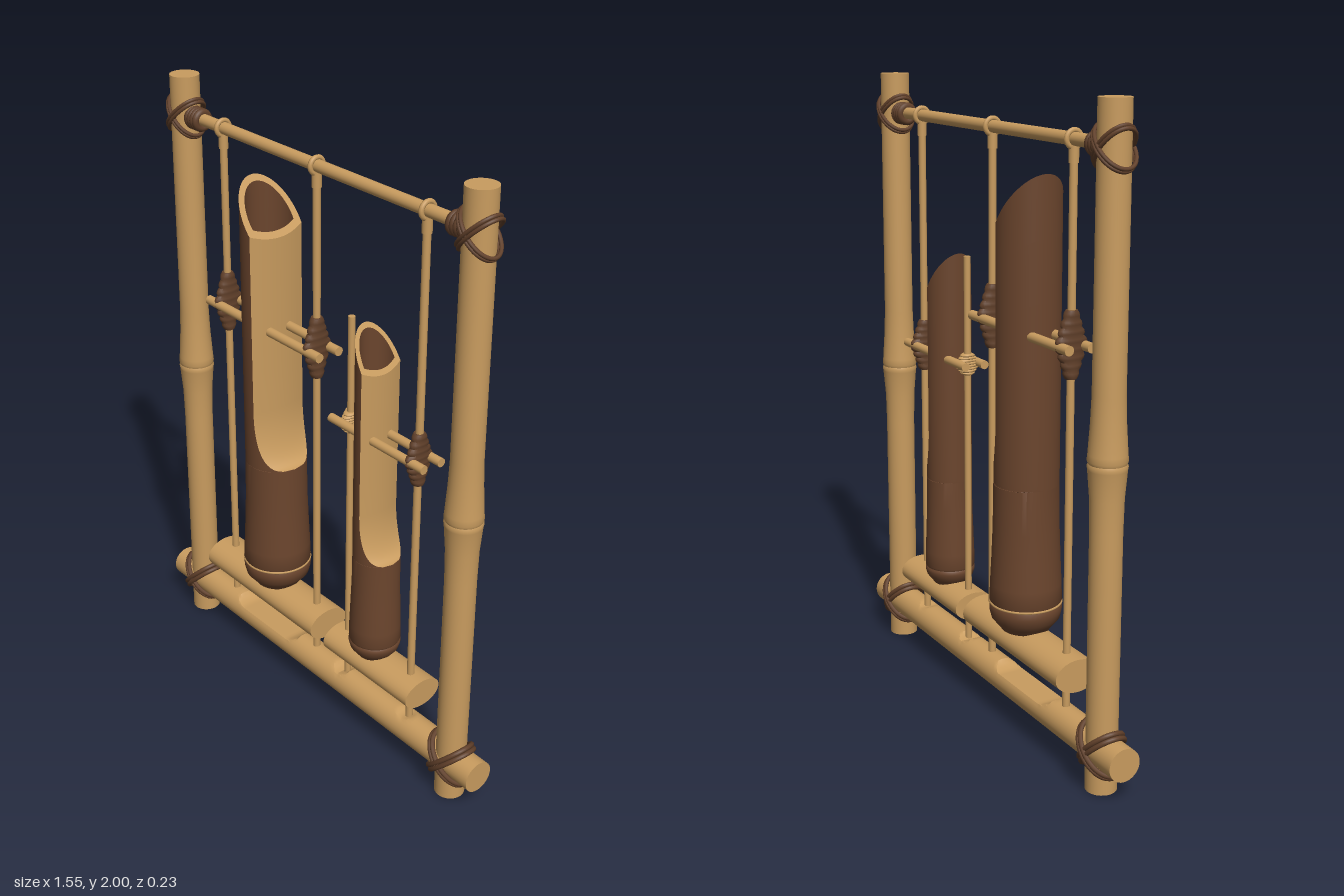
import * as THREE from 'three';
import { toCreasedNormals } from 'three/addons/utils/BufferGeometryUtils.js';

const flat = (name, color, side = THREE.FrontSide) => {
  const m = new THREE.MeshStandardMaterial({ color, side });
  m.name = name;
  return m;
};

// Creases are found at a larger scale, so that close vertices stay distinct
const crease = (geo, angle) =>
  toCreasedNormals(geo.scale(100, 100, 100), angle).scale(0.01, 0.01, 0.01);

export function createModel() {
  const model = new THREE.Group();
  model.name = 'bambooRattle';
  const tan = flat('paleBamboo', 0xc99c5f, THREE.DoubleSide);
  const brown = flat('darkBamboo', 0x6b452d, THREE.DoubleSide);
  const cord = flat('cord', 0x61402a);

  const add = (name, geo, mat, x = 0, y = 0, z = 0, parent = model) => {
    const mesh = new THREE.Mesh(geo, mat);
    mesh.name = name;
    mesh.position.set(x, y, z);
    parent.add(mesh);
    return mesh;
  };
  const barX = (name, mat, r, x0, x1, y, z = 0, rz = r) =>
    add(name, new THREE.CylinderGeometry(r, r, x1 - x0, 32).rotateZ(Math.PI / 2).scale(1, 1, rz / r),
      mat, (x0 + x1) / 2, y, z);
  const barY = (name, mat, r, x, y0, y1) =>
    add(name, new THREE.CylinderGeometry(r, r, y1 - y0, 16), mat, x, (y0 + y1) / 2);

  // Surface through rows of points; f(i, j) returns [x, y, z]
  const grid = (rows, cols, f) => {
    const pos = [], idx = [];
    for (let i = 0; i <= rows; i++) for (let j = 0; j <= cols; j++) {
      pos.push(...f(i, j));
      if (i < rows && j < cols) {
        const a = i * (cols + 1) + j, b = a + cols + 1;
        idx.push(a, b, a + 1, a + 1, b, b + 1);
      }
    }
    const g = new THREE.BufferGeometry();
    g.setAttribute('position', new THREE.Float32BufferAttribute(pos, 3));
    g.setIndex(idx);
    return crease(g, 0.6);
  };

  // Posts with a swollen node halfway up
  const postProfile = [[0, 0], [0.048, 0], [0.048, 0.8], [0.05, 0.9], [0.057, 0.985], [0.059, 0.995],
    [0.056, 1.003], [0.059, 1.012], [0.057, 1.03], [0.051, 1.12], [0.048, 1.2], [0.047, 2], [0, 2]]
    .map(p => new THREE.Vector2(...p));
  for (const s of [-1, 1])
    add('post', crease(new THREE.LatheGeometry(postProfile, 32), 0.6), tan, s * 0.655);

  // Bottom beam, its top cut flat at the slots
  const slots = [[-0.41, -0.08, 0.025], [0.11, 0.175, 0.02], [0.42, 0.48, 0.014]];
  const beam = new THREE.CylinderGeometry(0.052, 0.052, 1.55, 32, 140).rotateZ(Math.PI / 2);
  const bp = beam.attributes.position;
  for (let i = 0; i < bp.count; i++) {
    let top = 0.052;
    for (const [a, b, d] of slots) {
      const inside = Math.min(bp.getX(i) - a, b - bp.getX(i)) / 0.04;
      if (inside > 0) top -= d * Math.sqrt(Math.min(1, inside));
    }
    bp.setY(i, Math.min(bp.getY(i), top));
  }
  add('bottomBeam', crease(beam, 0.5), tan, 0, 0.128);

  // Top rod and the coils at its ends
  barX('topRod', tan, 0.019, -0.62, 0.62, 1.875);
  for (const s of [-1, 1]) for (let k = 0; k < 4; k++)
    add('rodEndCoil', new THREE.TorusGeometry(0.025, 0.012, 8, 24).rotateY(Math.PI / 2), cord,
      s * (0.568 + k * 0.014), 1.872);

  // Crossed cord wraps at the frame joints
  const wrap = (x, y, diag, depth, r) => {
    for (const s of [-1, 1]) for (const k of [-1, 1]) {
      const pts = [];
      for (let i = 0; i < 28; i++) {
        const a = i / 28 * Math.PI * 2, u = Math.cos(a) * diag, o = k * r * 0.95;
        pts.push(new THREE.Vector3((u + o) * 0.707, s * (u - o) * 0.707,
          Math.sin(a) * (depth + (s > 0 ? r * 0.5 : 0))));
      }
      const path = new THREE.CatmullRomCurve3(pts, true);
      add('jointWrap', new THREE.TubeGeometry(path, 48, r, 8, true), cord, x, y);
    }
  };
  for (const s of [-1, 1]) {
    wrap(s * 0.655, 0.13, 0.092, 0.062, 0.008);
    wrap(s * 0.655, 1.87, 0.08, 0.053, 0.006);
  }

  // Upright rods and the loops that hang them
  for (const x of [-0.458, -0.005, 0.46]) {
    barY('uprightRod', tan, 0.012, x, 0.14, 1.87);
    add('hangingLoop', new THREE.TorusGeometry(0.024, 0.008, 8, 24).rotateY(Math.PI / 2), tan, x, 1.875);
    add('loopBinding', new THREE.CylinderGeometry(0.015, 0.015, 0.05, 16), tan, x, 1.835);
  }
  barY('shortUprightRod', tan, 0.011, 0.157, 0.14, 1.46);

  // Paired cross rods, running through the tubes
  for (const s of [-1, 1]) {
    barX('crossRod', tan, 0.015, -0.51, 0.055, 1.295, s * 0.038);
    barX('crossRod', tan, 0.014, 0.105, 0.52, 1.115, s * 0.034);
  }

  // Ridged bindings, widened in depth to reach both cross rods
  const binding = (x, y, h, mat, widen) => {
    const pts = [new THREE.Vector2(0, -h)];
    for (let i = 0; i <= 24; i++)
      pts.push(new THREE.Vector2(0.0185 + (i % 3 ? 0.0015 : -0.001), -h + i * h / 12));
    pts.push(new THREE.Vector2(0, h));
    const g = new THREE.LatheGeometry(pts, 20);
    const p = g.attributes.position;
    for (let i = 0; i < p.count; i++)
      p.setZ(i, p.getZ(i) * (1 + widen * Math.max(0, 1 - Math.abs(p.getY(i)) / h)));
    add('rodBinding', crease(g, 0.8), mat, x, y);
  };
  binding(-0.458, 1.3, 0.1, cord, 1.8);
  binding(-0.005, 1.3, 0.1, cord, 1.8);
  binding(0.46, 1.115, 0.085, cord, 1.7);
  binding(0.157, 1.112, 0.034, tan, 1.4);

  // Base blocks
  barX('baseBlock', tan, 0.052, -0.52, 0.055, 0.302, 0, 0.076);
  barX('baseBlock', tan, 0.047, 0.115, 0.515, 0.292, 0, 0.071);

  // Sounding tube: round below the lip, cut back to a tongue above, slanted at the top
  const soundTube = (name, t) => {
    const group = new THREE.Group();
    group.name = name;
    group.position.x = t.cx;
    model.add(group);
    const R = t.profile[t.profile.length - 1][0];
    const topY = x => t.high - (x + R) * t.slope;
    const rows = t.profile.map(([r, y]) => ({ r, y, cut: r, edge: r, up: 0 }));
    const lipRow = rows.length - 1;
    for (let i = 1; i <= 14; i++) {
      const u = (i / 14) ** 2;
      const cut = t.cut + (R - t.cut) * (1 - Math.sqrt(1 - (1 - u) ** 2));
      const edge = cut - t.bulge * (R - cut) / (R - t.cut);
      rows.push({ r: R, y: t.lip + u * (t.start - t.lip), cut, edge, up: 0 });
    }
    const last = rows[rows.length - 1];
    for (let i = 1; i <= 4; i++) rows.push({ ...last, up: i / 4 });
    const height = (row, x) => row.y + (topY(x) - row.y) * row.up;
    const half = row => (row.r > 0 ? Math.acos(Math.min(1, row.edge / row.r)) : 0);
    const N = 48, M = 12;
    const shell = (row, j) => {
      const a = half(row), ang = a + (Math.PI * 2 - 2 * a) * j / N;
      const x = row.r * Math.cos(ang);
      return [x, height(row, x), row.r * Math.sin(ang)];
    };
    const face = (row, j) => {
      const s = j / M * 2 - 1, x = row.edge + (row.cut - row.edge) * (1 - s * s);
      return [x, height(row, x), s * row.r * Math.sin(half(row))];
    };
    add('tubeShell', grid(rows.length - 1, N, (i, j) => shell(rows[i], j)), brown, 0, 0, 0, group);
    add('cutFace', grid(rows.length - 1 - lipRow, M, (i, j) => face(rows[i + lipRow], j)), tan, 0, 0, 0, group);

    // Hollow mouth: pale rim, dark inner wall and floor
    const rim = rows[rows.length - 1], mid = (rim.cut - R) / 2;
    const loop = (j, k) => {
      const p = j <= M ? face(rim, j) : shell(rim, j - M);
      const x = mid + (p[0] - mid) * k;
      return [x, topY(x), p[2] * k];
    };
    add('mouthRim', grid(1, N + M, (i, j) => loop(j, i ? 0.78 : 1)), tan, 0, 0, 0, group);
    add('innerWall', grid(2, N + M, (i, j) => {
      const [x, y, z] = loop(j, 0.78);
      return i === 0 ? [x, y, z] : i === 1 ? [x, t.start + 0.1, z] : [mid, t.start + 0.1, 0];
    }), brown, 0, 0, 0, group);
    return group;
  };

  const large = soundTube('largeTube', {
    cx: -0.216, cut: 0.031, bulge: 0.016, lip: 0.82, start: 1.02, high: 1.765, slope: 1.25,
    profile: [[0, 0.345], [0.075, 0.345], [0.09, 0.365], [0.107, 0.385], [0.113, 0.41], [0.113, 0.43],
      [0.109, 0.436], [0.113, 0.443], [0.111, 0.5], [0.107, 0.58], [0.103, 0.68], [0.101, 0.82]],
  });
  add('nodeRing', new THREE.TorusGeometry(0.111, 0.004, 6, 48).rotateX(Math.PI / 2), tan, 0, 0.436, 0, large);

  soundTube('smallTube', {
    cx: 0.287, cut: 0.015, bulge: 0.013, lip: 0.695, start: 0.86, high: 1.46, slope: 1.5,
    profile: [[0, 0.325], [0.055, 0.325], [0.066, 0.34], [0.078, 0.355], [0.083, 0.372], [0.083, 0.38],
      [0.08, 0.385], [0.083, 0.392], [0.082, 0.44], [0.079, 0.52], [0.076, 0.6], [0.075, 0.695]],
  });

  return model;
}
